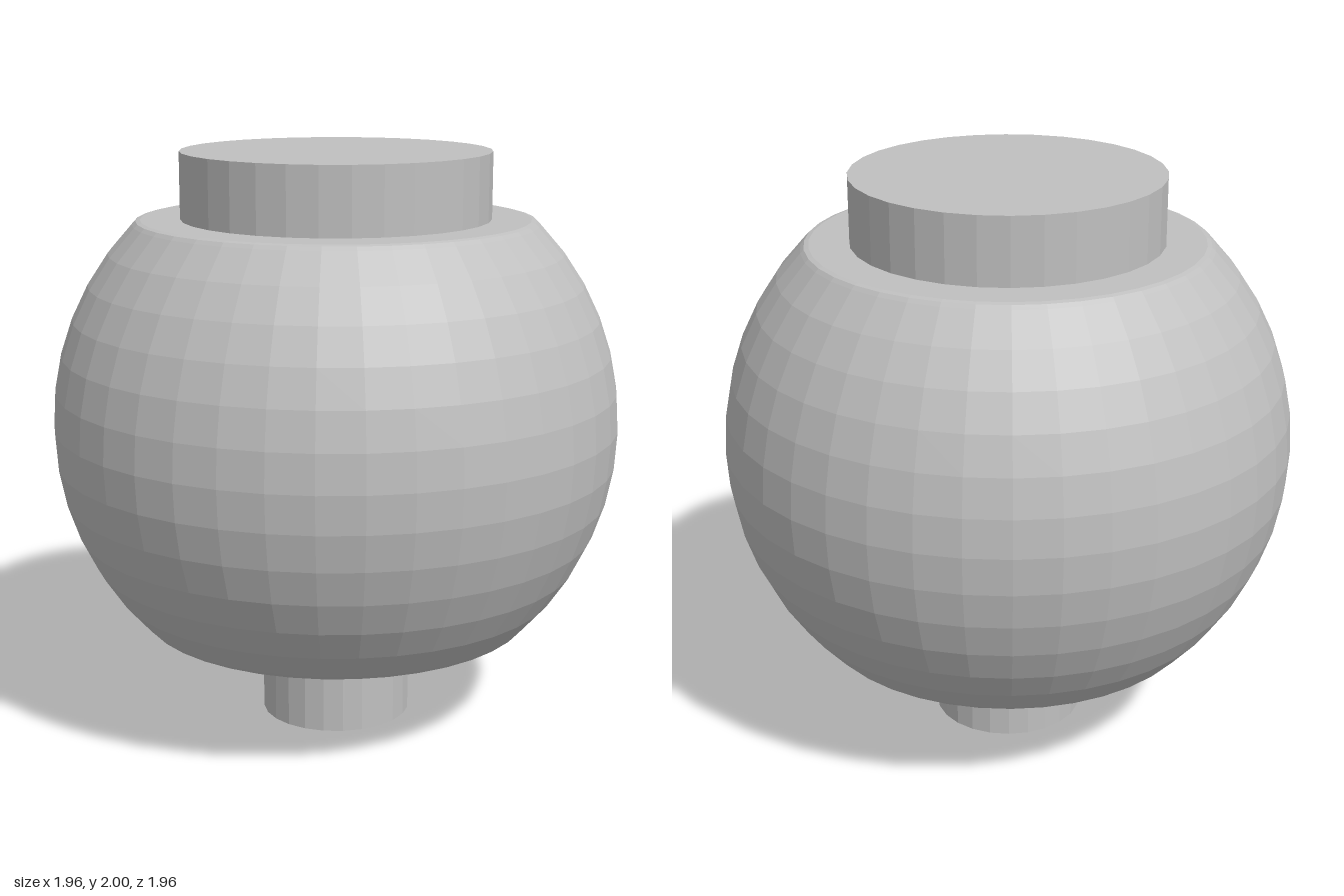
import * as THREE from 'three';

export function createModel() {
  const group = new THREE.Group();
  const grey = new THREE.MeshStandardMaterial({ color: 0xc0c0c0, flatShading: true });
  grey.name = 'plain grey';

  const add = (name, geometry, y = 0) => {
    const mesh = new THREE.Mesh(geometry, grey);
    mesh.name = name;
    mesh.position.y = y;
    group.add(mesh);
  };

  // Truncated ball with softened rims and a straight bore, as one closed profile
  const radius = 0.978, half = 0.706, bore = 0.455, bands = 12;
  const limit = Math.asin(0.69 / radius);
  const profile = [[bore, -half], [0.665, -half], [0.681, -0.702]];
  for (let i = 0; i <= bands; i++) {
    const a = -limit + (2 * limit * i) / bands;
    profile.push([radius * Math.cos(a), radius * Math.sin(a)]);
  }
  profile.push([0.681, 0.702], [0.665, half], [bore, half], [bore, -half]);
  add('ballBody', new THREE.LatheGeometry(profile.map(([x, y]) => new THREE.Vector2(x, y)), 40), 1.066);

  // Wide cap closing the top of the bore
  add('topCap', new THREE.CylinderGeometry(0.53, 0.53, 0.23, 32), 1.885);

  // Stem running up the bore to the cap
  add('stem', new THREE.CylinderGeometry(0.262, 0.262, 1.78, 24), 0.89);

  return group;
}
